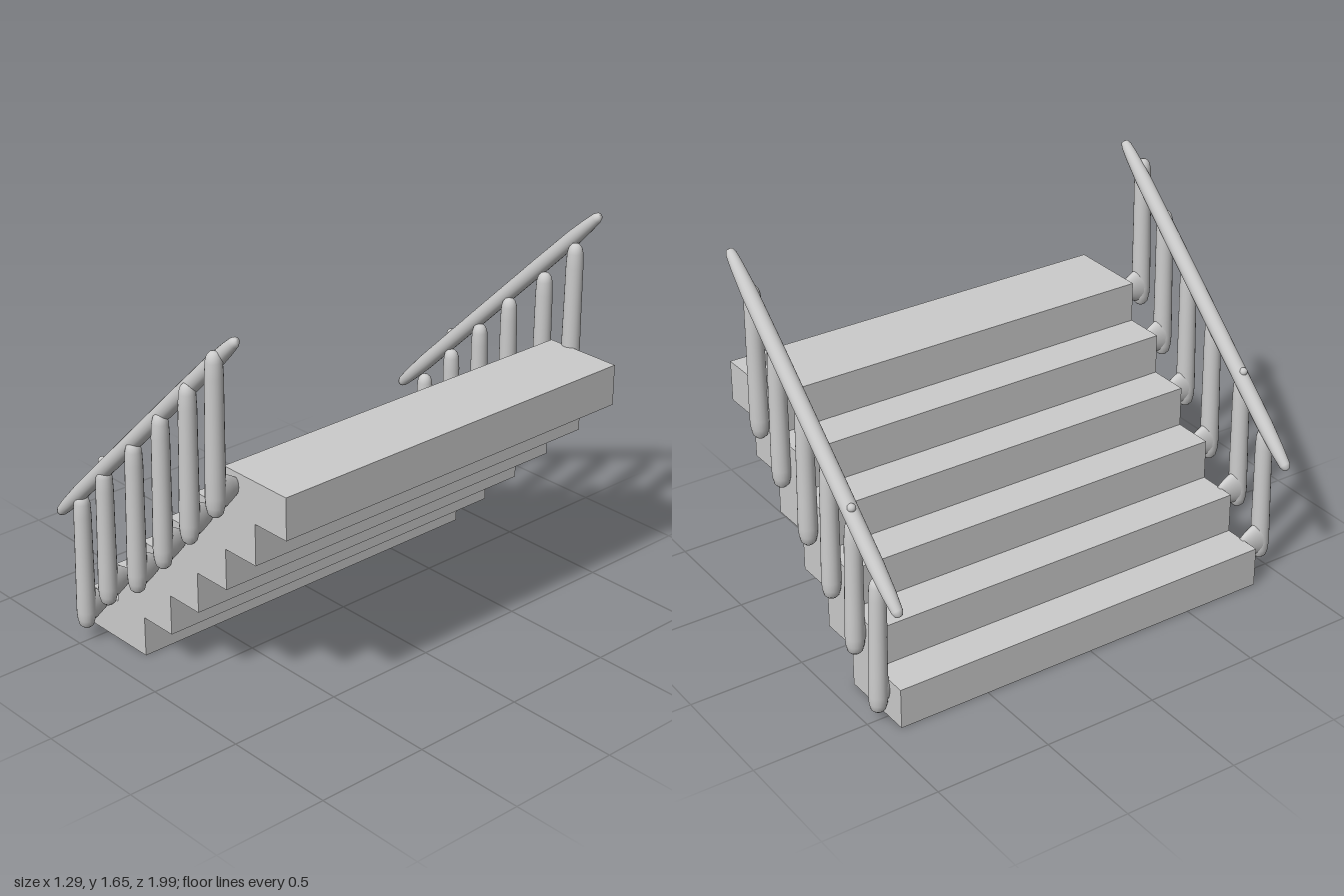
import * as THREE from 'three';

const material = new THREE.MeshStandardMaterial({ color: 0xcccccc });
const V = (x, y, z) => new THREE.Vector3(x, y, z);

// Rounded, tapering bar between two points; profile holds [radius, fraction of length]
function bar(name, a, b, profile, flatten = 1) {
  const dir = b.clone().sub(a);
  const length = dir.length();
  const points = profile.map(([r, t]) => new THREE.Vector2(r, t * length));
  const geometry = new THREE.LatheGeometry(points, 20);
  geometry.scale(1, 1, flatten);
  const mesh = new THREE.Mesh(geometry, material);
  mesh.name = name;
  mesh.position.copy(a);
  mesh.quaternion.setFromUnitVectors(V(0, 1, 0), dir.normalize());
  return mesh;
}

const postProfile = [[0, 0], [0.018, 0.006], [0.03, 0.025], [0.037, 0.07], [0.04, 0.13], [0.039, 0.3],
  [0.037, 0.6], [0.036, 0.85], [0.033, 0.94], [0.027, 0.975], [0.016, 0.994], [0, 1]];
const railProfile = [[0, 0], [0.016, 0.003], [0.023, 0.015], [0.029, 0.06], [0.034, 0.14], [0.035, 0.4],
  [0.035, 0.7], [0.033, 0.88], [0.027, 0.95], [0.022, 0.985], [0.015, 0.997], [0, 1]];
const pegProfile = [[0.037, 0], [0.032, 0.35], [0.026, 0.6], [0.019, 0.85], [0.014, 1], [0, 1]];

export function createModel() {
  const group = new THREE.Group();

  // Six overlapping solid steps
  const stairs = new THREE.Group();
  stairs.name = 'stairs';
  for (let i = 0; i < 6; i++) {
    const step = new THREE.Mesh(new THREE.BoxGeometry(0.352, 0.177, 1.76), material);
    step.name = `step${i + 1}`;
    step.position.set(-0.419 + i * 0.1773, 0.0885 + i * 0.176, -0.023);
    stairs.add(step);
  }
  group.add(stairs);

  // Railing on the front side, posts held off the steps by tapered pegs
  const front = new THREE.Group();
  front.name = 'frontRailing';
  front.add(bar('handrail', V(-0.635, 0.542, 0.966), V(0.465, 1.638, 0.924), railProfile));
  const frontX = [-0.505, -0.345, -0.145, 0.03, 0.2, 0.36];
  const frontBottom = [0.06, 0.235, 0.375, 0.555, 0.73, 0.905];
  const frontTop = [0.675, 0.85, 1.04, 1.22, 1.4, 1.578];
  frontX.forEach((x, i) => {
    const y = frontBottom[i];
    front.add(bar('post', V(x, y, 0.956), V(x + 0.018, frontTop[i], 0.96), postProfile));
    front.add(bar('peg', V(x, y + 0.095, 0.945), V(x, y + 0.095, 0.85), pegProfile, 2.1));
  });
  group.add(front);

  // Railing on the back side, posts set close against the steps
  const back = new THREE.Group();
  back.name = 'backRailing';
  back.add(bar('handrail', V(-0.635, 0.542, -0.922), V(0.468, 1.638, -0.966), railProfile));
  const backX = [-0.49, -0.325, -0.155, 0.015, 0.212, 0.375];
  const backBottom = [0.033, 0.21, 0.375, 0.53, 0.695, 0.84];
  backX.forEach((x, i) => {
    const y = backBottom[i];
    back.add(bar('post', V(x, y, -0.942 + i * 0.003), V(x + 0.008, 0.635 + i * 0.174, -0.923), postProfile));
    back.add(bar('peg', V(x, y + 0.1, -0.935), V(x, y + 0.1, -0.88), pegProfile, 2.1));
  });
  group.add(back);

  // Small knob on each handrail
  for (const z of [0.955, -0.94]) {
    const knob = new THREE.Mesh(new THREE.SphereGeometry(0.018, 14, 10), material);
    knob.name = 'railKnob';
    knob.position.set(-0.34, 0.877, z);
    group.add(knob);
  }
  return group;
}
